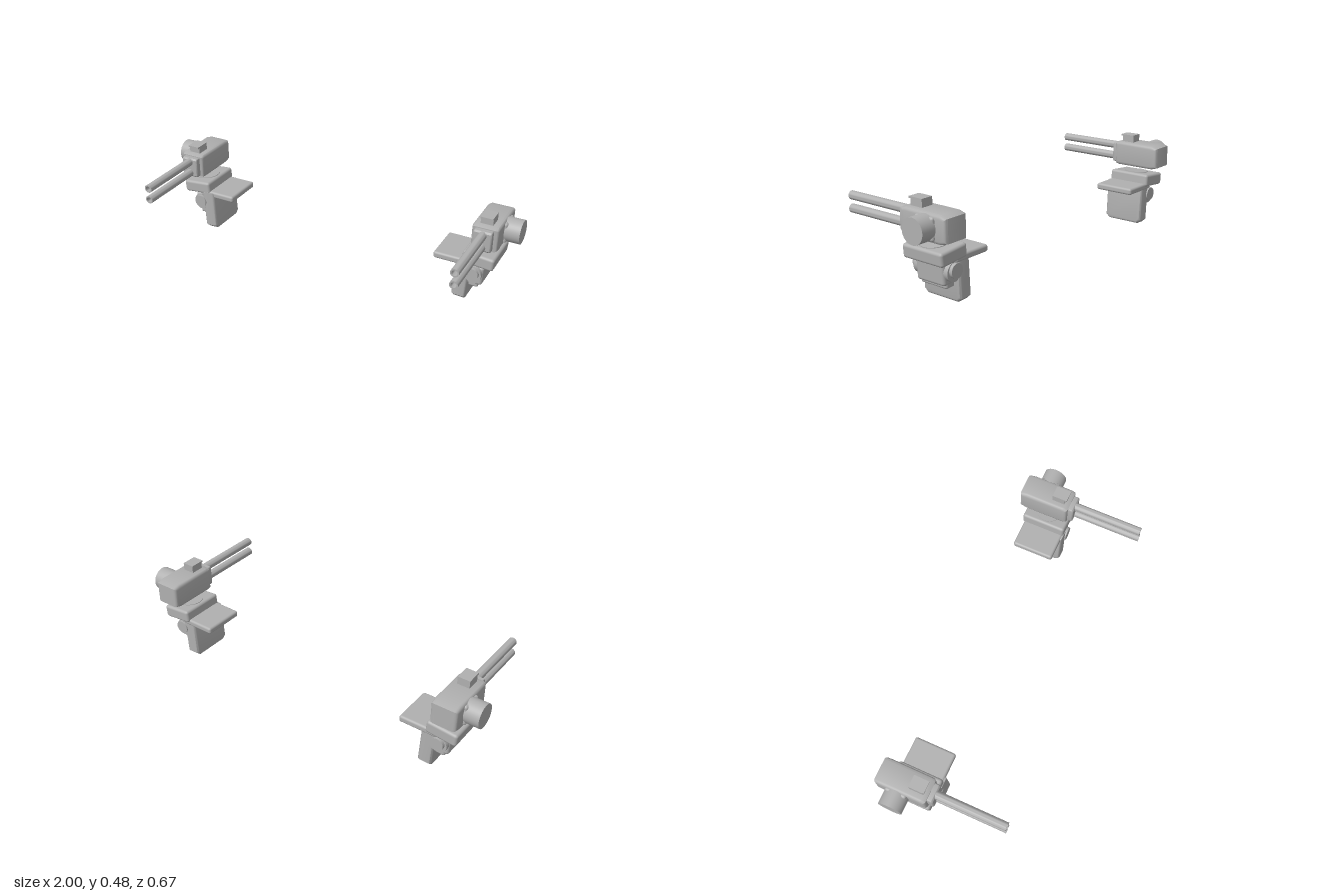
import * as THREE from 'three';
import { toCreasedNormals } from 'three/addons/utils/BufferGeometryUtils.js';
import { RoundedBoxGeometry } from 'three/addons/geometries/RoundedBoxGeometry.js';

const grey = new THREE.MeshStandardMaterial({ color: 0xb0b0b0 });
grey.name = 'grey';

// Side profile given as [z, y] points, extruded across x with bevelled edges, centred on x = 0
function profileSolid(points, width, bevel) {
  const shape = new THREE.Shape(points.map(([z, y]) => new THREE.Vector2(z, y)));
  const geo = new THREE.ExtrudeGeometry(shape, {
    depth: width - 2 * bevel, bevelEnabled: true, bevelThickness: bevel,
    bevelSize: bevel, bevelOffset: -bevel, bevelSegments: 3,
  });
  geo.translate(0, 0, -(width - 2 * bevel) / 2);
  geo.rotateY(-Math.PI / 2);
  return toCreasedNormals(geo, 0.6);
}

// Hollow-ended barrel along z
function barrelGeometry(radius, length) {
  const bore = radius * 0.68;
  const points = [[0, 0], [radius, 0], [radius, length], [bore, length], [bore, length - 0.05], [0, length - 0.05]];
  const geo = new THREE.LatheGeometry(points.map(([x, y]) => new THREE.Vector2(x, y)), 28);
  geo.rotateX(Math.PI / 2);
  return toCreasedNormals(geo, 0.6);
}

function buildMount(side) {
  const mount = new THREE.Group();
  mount.name = side > 0 ? 'leftMount' : 'rightMount';

  // x and tilt are mirrored by side
  const add = (name, geo, x, y, z, tilt = 0) => {
    const mesh = new THREE.Mesh(geo, grey);
    mesh.name = name;
    mesh.position.set(side * x, y, z);
    mesh.rotation.z = side * tilt;
    mount.add(mesh);
    return mesh;
  };
  const box = (name, w, h, d, r, x, y, z, tilt) =>
    add(name, new RoundedBoxGeometry(w, h, d, 3, r), x, y, z, tilt);

  // Gun housing with sloped rear and front edges
  add('gunHousing', profileSolid([
    [-0.063, 0.318], [-0.063, 0.436], [-0.085, 0.445], [-0.298, 0.445],
    [-0.335, 0.434], [-0.335, 0.322], [-0.298, 0.311], [-0.085, 0.311],
  ].reverse(), 0.136, 0.016), 0.854, 0, 0);
  add('barrelCollar', profileSolid([
    [-0.08, 0.322], [-0.04, 0.322], [-0.033, 0.33], [-0.033, 0.424], [-0.04, 0.432], [-0.08, 0.432],
  ], 0.095, 0.008), 0.852, 0, 0);

  // Twin barrels
  for (const y of [0.41, 0.346]) add('barrel', barrelGeometry(0.0215, 0.375), 0.852, y, -0.04);

  // Sight block with a forward lip
  add('sightBlock', new THREE.BoxGeometry(0.064, 0.044, 0.07), 0.852, 0.463, -0.126);
  add('sightLip', new THREE.BoxGeometry(0.064, 0.009, 0.014), 0.852, 0.4805, -0.087);

  // Outboard drum on its backing plate
  box('drumPlate', 0.03, 0.11, 0.112, 0.012, 0.92, 0.377, -0.215);
  const drum = add('ammoDrum', new THREE.CylinderGeometry(0.062, 0.062, 0.09, 40), 0.955, 0.378, -0.215);
  drum.rotation.z = Math.PI / 2;

  // Tilted pad under the gun with its turntable disc
  box('tiltedPad', 0.165, 0.068, 0.242, 0.014, 0.833, 0.245, -0.18, -0.09);
  add('turntable', new THREE.CylinderGeometry(0.066, 0.066, 0.006, 40), 0.836, 0.279, -0.18, -0.09);

  // Inboard shelf and hanging leg
  box('shelf', 0.21, 0.036, 0.226, 0.012, 0.705, 0.216, -0.177);
  add('leg', profileSolid([
    [-0.057, 0.02], [-0.057, 0.225], [-0.287, 0.225], [-0.287, 0.02], [-0.265, 0], [-0.079, 0],
  ].reverse(), 0.074, 0.013), 0.748, 0.003, 0, -0.055);

  // Hinge between the leg and the outer block
  for (const [name, r, length, y] of [['hingeBarrel', 0.047, 0.21, 0.157], ['hingePin', 0.036, 0.243, 0.165]]) {
    const hinge = add(name, new THREE.CylinderGeometry(r, r, length, 32), 0.81, y, -0.172);
    hinge.rotation.set(Math.PI / 2, 0, 0);
  }
  box('hingeBlock', 0.09, 0.105, 0.17, 0.014, 0.815, 0.147, -0.171, -0.06);
  box('hingeFoot', 0.06, 0.05, 0.16, 0.01, 0.808, 0.1, -0.171, -0.06);
  return mount;
}

export function createModel() {
  const model = new THREE.Group();
  model.name = 'twinGunMounts';
  for (const side of [1, -1]) model.add(buildMount(side));
  return model;
}
